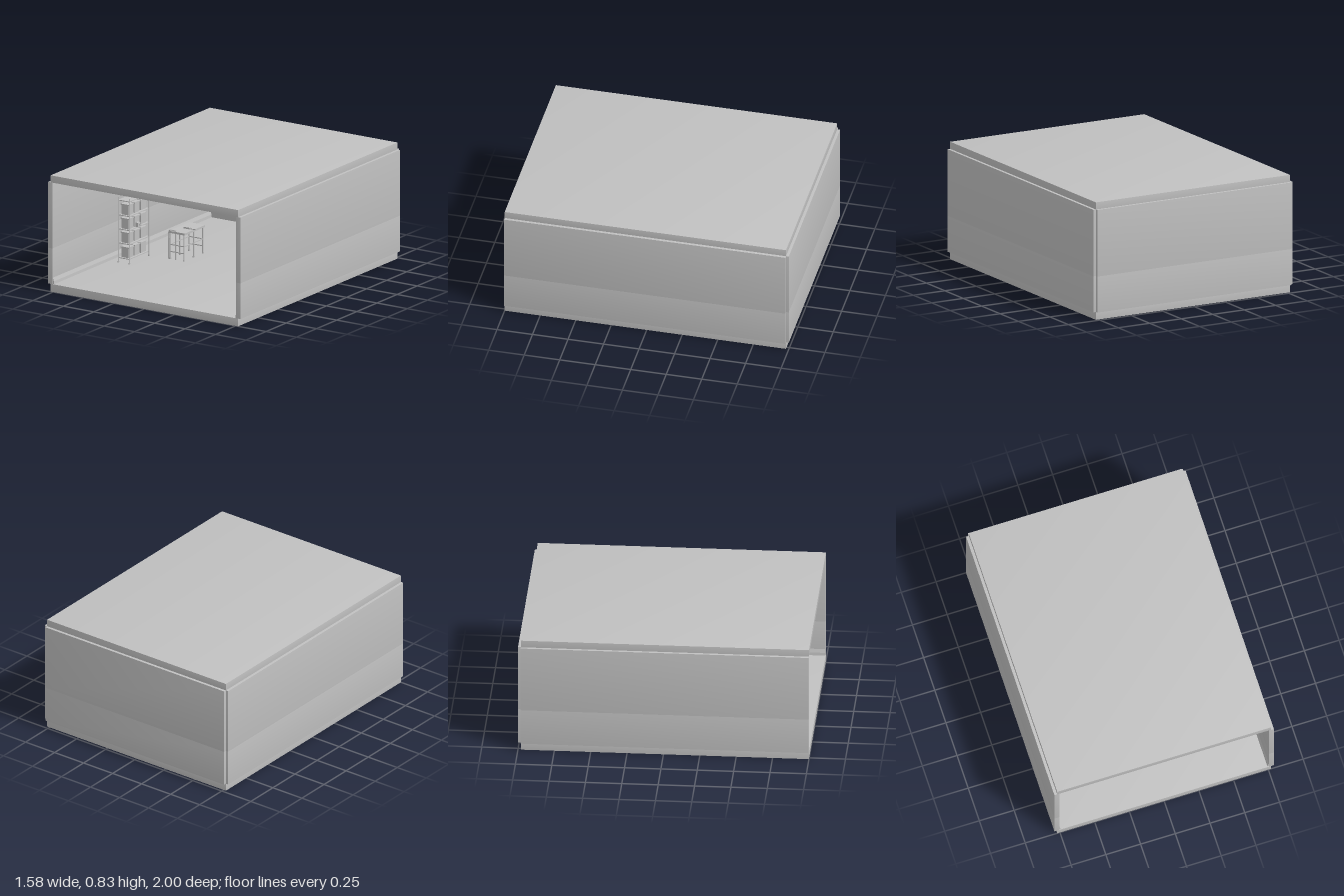
import * as THREE from 'three';

const grey = new THREE.MeshStandardMaterial({ color: 0xc0c0c0 });
grey.name = 'plainGrey';

// Box given by its limits; tilt leans the corner normals outward for soft panel shading
function box(parent, name, [x0, x1], [y0, y1], [z0, z1], tilt = 0) {
  const geo = new THREE.BoxGeometry(x1 - x0, y1 - y0, z1 - z0);
  const p = geo.attributes.position, n = geo.attributes.normal;
  const v = new THREE.Vector3();
  for (let i = 0; tilt && i < p.count; i++) {
    v.set(
      n.getX(i) + tilt * Math.sign(p.getX(i)),
      n.getY(i) + tilt * Math.sign(p.getY(i)),
      n.getZ(i) + tilt * Math.sign(p.getZ(i))
    ).normalize();
    n.setXYZ(i, v.x, v.y, v.z);
  }
  const mesh = new THREE.Mesh(geo, grey);
  mesh.name = name;
  mesh.position.set((x0 + x1) / 2, (y0 + y1) / 2, (z0 + z1) / 2);
  parent.add(mesh);
  return mesh;
}

function post(parent, name, x, z, y0, y1, r) {
  const mesh = new THREE.Mesh(new THREE.CylinderGeometry(r, r, y1 - y0, 10), grey);
  mesh.name = name;
  mesh.position.set(x, (y0 + y1) / 2, z);
  parent.add(mesh);
}

function group(parent, name) {
  const g = new THREE.Group();
  g.name = name;
  parent.add(g);
  return g;
}

const FLOOR = 0.055, SEAM = 0.31, TOP = 0.78;

function buildRoom(room) {
  box(room, 'floor', [-0.77, 0.77], [0, FLOOR], [-0.98, 1], 0.08);
  box(room, 'ceiling', [-0.77, 0.77], [TOP, 0.83], [-0.98, 1], 0.08);
  box(room, 'backWallLower', [-0.77, 0.77], [FLOOR, SEAM], [-1, -0.965], 0.08);
  box(room, 'backWallUpper', [-0.77, 0.77], [SEAM, TOP], [-1, -0.965], 0.08);
  for (const side of [-1, 1]) {
    const x = side < 0 ? [-0.79, -0.755] : [0.755, 0.79];
    box(room, 'sideWallLower', x, [FLOOR, SEAM], [-0.98, 1], 0.08);
    box(room, 'sideWallUpper', x, [SEAM, TOP], [-0.98, 1], 0.08);

    // Tapered skirting along the inner foot of the wall
    const s = new THREE.Shape([
      new THREE.Vector2(side * 0.76, FLOOR), new THREE.Vector2(side * 0.745, FLOOR),
      new THREE.Vector2(side * 0.747, 0.075), new THREE.Vector2(side * 0.755, 0.1),
      new THREE.Vector2(side * 0.76, 0.1)
    ]);
    const skirting = new THREE.Mesh(new THREE.ExtrudeGeometry(s, { depth: 1.96, bevelEnabled: false }), grey);
    skirting.name = 'skirting';
    skirting.position.z = -0.965;
    room.add(skirting);
  }
}

function buildShelf(shelf) {
  const xs = [-0.676, -0.586], zs = [0.055, 0.3];
  for (const x of xs) for (const z of zs) {
    post(shelf, 'shelfPost', x, z, FLOOR, 0.52, 0.004);
    post(shelf, 'shelfFoot', x, z, FLOOR, 0.064, 0.007);
  }
  // Boards with a row of bins on each
  [0.085, 0.19, 0.29, 0.39, 0.495].forEach((y, level) => {
    box(shelf, 'shelfBoard', [-0.676, -0.586], [y, y + 0.006], [0.055, 0.3]);
    if (level === 4) return;
    for (let i = 0; i < 3; i++) {
      const z = 0.07 + i * 0.077;
      box(shelf, 'bin', [-0.66, -0.602], [y + 0.006, y + 0.074], [z, z + 0.062]);
      box(shelf, 'binLid', [-0.664, -0.598], [y + 0.074, y + 0.082], [z - 0.003, z + 0.065]);
    }
  });
  // Small clamp on the side
  box(shelf, 'clampBody', [-0.59, -0.567], [0.302, 0.332], [0.19, 0.22]);
  const knob = new THREE.Mesh(new THREE.CylinderGeometry(0.005, 0.005, 0.025, 10), grey);
  knob.name = 'clampKnob';
  knob.rotation.z = Math.PI / 2;
  knob.position.set(-0.565, 0.318, 0.205);
  shelf.add(knob);
}

function buildBench(bench) {
  const xs = [-0.425, -0.312];
  for (const x of xs) for (const z of [-0.2, -0.085, 0.035]) {
    post(bench, 'benchLeg', x, z, FLOOR, 0.245, 0.005);
    post(bench, 'benchFoot', x, z, FLOOR, 0.064, 0.008);
  }
  post(bench, 'innerLeg', -0.38, 0.035, FLOOR, 0.245, 0.005);
  box(bench, 'benchTop', [-0.43, -0.3], [0.242, 0.256], [-0.21, 0.045]);
  // Cross rails and long rails
  for (const y of [0.105, 0.155]) {
    for (const z of [-0.2, 0.035]) box(bench, 'crossRail', [-0.425, -0.312], [y, y + 0.007], [z - 0.003, z + 0.003]);
  }
  for (const x of xs) box(bench, 'longRail', [x - 0.003, x + 0.003], [0.155, 0.162], [-0.2, 0.035]);

  // Bent pipe over the end of the bench
  const path = new THREE.CatmullRomCurve3([
    [-0.434, FLOOR], [-0.434, 0.18], [-0.434, 0.245], [-0.424, 0.26], [-0.37, 0.262]
  ].map(([x, y]) => new THREE.Vector3(x, y, 0.04)), false, 'centripetal');
  const pipe = new THREE.Mesh(new THREE.TubeGeometry(path, 24, 0.004, 8), grey);
  pipe.name = 'bentPipe';
  bench.add(pipe);
  // Tool lying on top
  box(bench, 'toolHandle', [-0.38, -0.33], [0.256, 0.267], [-0.08, -0.06]);
  box(bench, 'toolBlade', [-0.33, -0.28], [0.257, 0.263], [-0.076, -0.064]);
}

export function createModel() {
  const model = new THREE.Group();
  model.name = 'openRoom';
  buildRoom(group(model, 'room'));
  buildShelf(group(model, 'storageShelf'));
  buildBench(group(model, 'workBench'));
  return model;
}
